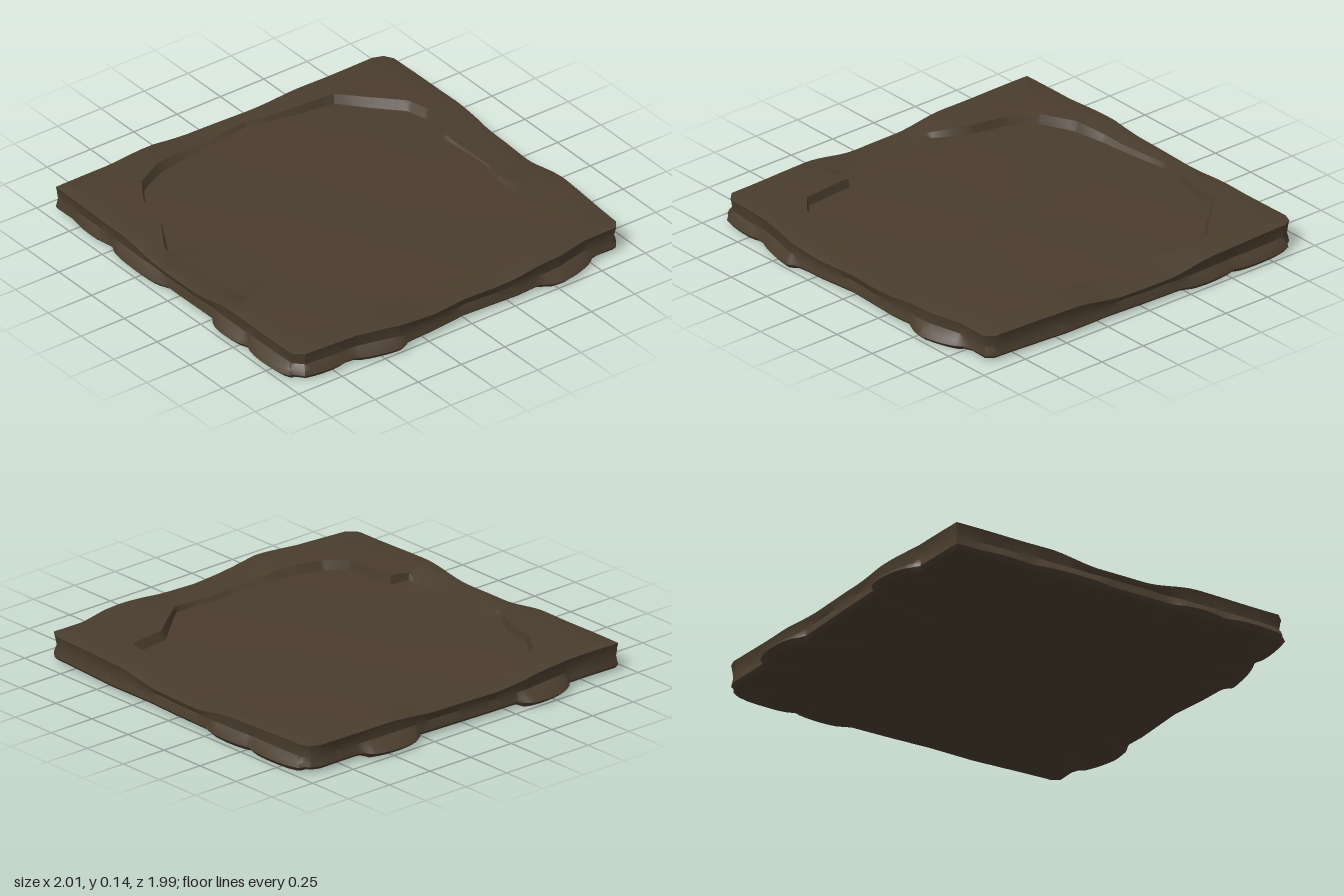
import * as THREE from 'three';
import { toCreasedNormals } from 'three/addons/utils/BufferGeometryUtils.js';

// Plan of the slab's upper edge, as [x, z] corners
const EDGE = [
  [-0.92, 0.95], [-0.92, 0.65], [-0.95, 0.36], [-0.945, 0.1], [-0.93, -0.3], [-0.925, -0.6],
  [-0.925, -0.88], [-0.905, -0.93], [-0.86, -0.955], [-0.5, -0.965], [-0.25, -0.972], [0, -0.965],
  [0.2, -0.955], [0.45, -0.958], [0.7, -0.94], [0.87, -0.93], [0.91, -0.9], [0.91, -0.72],
  [0.95, -0.55], [0.965, -0.3], [0.95, 0], [0.972, 0.2], [0.982, 0.4], [0.935, 0.62],
  [0.915, 0.9], [0.87, 0.945], [0.5, 0.95], [0, 0.955],
];
// Plan of the worn hollow
const HOLLOW = [
  [-0.23, 0.845], [-0.4, 0.74], [-0.58, 0.7], [-0.715, 0.61], [-0.795, 0.46], [-0.83, 0.29],
  [-0.85, 0.05], [-0.865, -0.1], [-0.82, -0.29], [-0.8, -0.37], [-0.78, -0.55], [-0.66, -0.66],
  [-0.53, -0.79], [-0.42, -0.82], [-0.32, -0.81], [-0.23, -0.775], [0.1, -0.785], [0.2, -0.76],
  [0.35, -0.77], [0.55, -0.735], [0.58, -0.53], [0.68, -0.4], [0.78, -0.27], [0.785, -0.16],
  [0.77, -0.05], [0.795, 0.08], [0.79, 0.24], [0.775, 0.4], [0.72, 0.585], [0.64, 0.68],
  [0.375, 0.7], [0.36, 0.8],
];
// Lumps round the foot: [x, z, half width, reach]
const LUMPS = [
  [-0.93, -0.46, 0.17, 0.07], [-0.94, 0.48, 0.16, 0.065], [-0.28, 0.95, 0.2, 0.03],
  [-0.65, 0.95, 0.1, 0.015], [0.42, 0.95, 0.13, 0.042], [0.72, 0.95, 0.17, 0.045],
  [0.92, 0.8, 0.14, 0.025], [0.96, 0.5, 0.15, 0.03], [0.94, -0.6, 0.16, 0.05],
  [-0.7, -0.96, 0.18, 0.035], [-0.4, -0.97, 0.16, 0.025],
];

const smooth = THREE.MathUtils.smoothstep;
const angleOf = ([x, z]) => (Math.atan2(z, x) + 2 * Math.PI) % (2 * Math.PI);

// Distance from the centre to a closed plan, along one direction
function reach(plan, a) {
  const c = Math.cos(a), s = Math.sin(a);
  let best = 0;
  plan.forEach(([x, z], i) => {
    const [u, v] = plan[(i + 1) % plan.length];
    const p = c * z - s * x, q = c * v - s * u;
    if (p * q > 0 || p === q) return;
    const t = p / (p - q);
    best = Math.max(best, c * (x + t * (u - x)) + s * (z + t * (v - z)));
  });
  return best;
}

const ripple = (x, z) => 0.003 * Math.sin(7 * x + 2 * z) * Math.cos(5 * z - 3 * x);

// The rim sags at the middle of each side
const rimHeight = (x, z) => ripple(x, z) + Math.min(
  0.106 + 0.035 * smooth(Math.abs(x), 0.12, 0.42),
  0.118 + 0.024 * smooth(Math.abs(z), 0.15, 0.5));
const floorHeight = (x, z) => 0.097 + 0.5 * ripple(x, z);

function lump(x, z) {
  let out = 0;
  for (const [u, v, w, r] of LUMPS) {
    const d = Math.hypot(x - u, z - v) / w;
    if (d < 1) out = Math.max(out, r * Math.sqrt(1 - d * d));
  }
  return out;
}

// Push a point outward, square to its side of the slab
function push(x, z, d) {
  const n = new THREE.Vector2(Math.sign(x) * Math.abs(x) ** 9, Math.sign(z) * Math.abs(z) ** 9).normalize();
  return [x + n.x * d, z + n.y * d];
}

// Cross-section in one direction, from under the slab up and in to the centre
function section(a) {
  const c = Math.cos(a), s = Math.sin(a);
  const R = reach(EDGE, a), B = reach(HOLLOW, a);
  const x = c * R, z = s * R, L = lump(x, z), top = rimHeight(x, z);
  const side = (d, y) => { const [u, v] = push(x, z, d); return [u, y, v]; };
  const at = (r, height) => [c * r, height(c * r, s * r), s * r];
  const worn = s > 0 ? smooth(c / s, -0.3, -0.12) * (1 - smooth(c / s, 0.36, 0.5)) : 0;
  const lip = (u, v) => THREE.MathUtils.lerp(rimHeight(u, v), floorHeight(u, v) + 0.002, worn);
  const dip = 0.012 * smooth(L, 0, 0.03);
  return [
    [0, 0.014, 0],
    at(R * 0.85, () => 0.014),
    side(L * 0.8 - 0.015, 0.014 - dip),
    side(L, 0.03 - dip * 0.4),
    side(L * 0.75 - 0.004, 0.048),
    side(L * 0.1 - 0.012 + ripple(x * 3, z * 3), 0.075),
    side(-0.004, top - 0.02),
    side(0, top - 0.004),
    side(-0.012, top),
    at(B + (R - B) * 0.5, rimHeight),
    at(B, lip),
    at(B - 0.016 - 0.008 * Math.sin(5 * a), floorHeight),
    at(B * 0.66, floorHeight),
    at(B * 0.33, floorHeight),
    [0, floorHeight(0, 0), 0],
  ];
}

function slabGeometry() {
  // Even directions, plus every plan corner so none is cut off
  const angles = [...EDGE, ...HOLLOW].map(angleOf);
  for (let i = 0; i < 200; i++) {
    const a = (i / 200) * 2 * Math.PI;
    if (angles.every((b) => Math.abs(a - b) > 0.008)) angles.push(a);
  }
  angles.sort((p, q) => p - q);
  const sections = angles.map(section);
  const n = sections.length, rings = sections[0].length;
  const index = [];
  for (let j = 0; j < n; j++) {
    for (let i = 0; i < rings - 1; i++) {
      const a = j * rings + i, b = ((j + 1) % n) * rings + i;
      if (i < rings - 2) index.push(a, a + 1, b + 1);
      if (i > 0) index.push(a, b + 1, b);
    }
  }
  const geometry = new THREE.BufferGeometry();
  geometry.setAttribute('position', new THREE.Float32BufferAttribute(sections.flat(2), 3));
  geometry.setIndex(index);
  return toCreasedNormals(geometry, 0.6);
}

export function createModel() {
  const model = new THREE.Group();
  model.name = 'stoneSlab';
  const stone = new THREE.MeshStandardMaterial({ color: 0x4a3d2e });
  stone.name = 'dark brown stone';
  const slab = new THREE.Mesh(slabGeometry(), stone);
  slab.name = 'wornSlab';
  model.add(slab);
  return model;
}
